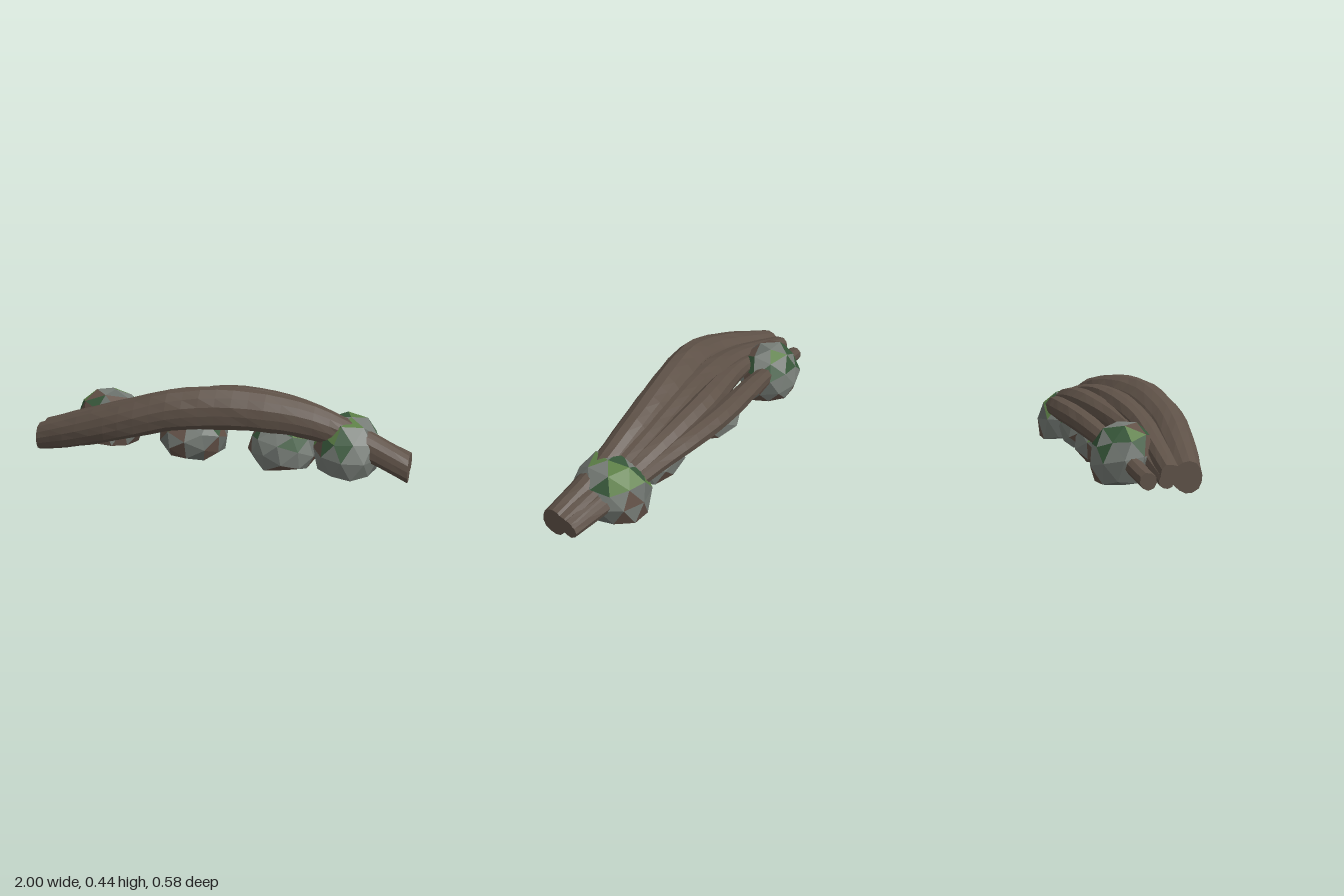
import * as THREE from 'three';

const mat = (name, color) => {
  const m = new THREE.MeshStandardMaterial({ color, flatShading: true });
  m.name = name;
  return m;
};

// repeatable value from 0 to 1 for any three numbers
const hash = (a, b, c) => {
  const s = Math.sin(a * 127.1 + b * 311.7 + c * 74.7) * 43758.5453;
  return s - Math.floor(s);
};

// fluted strand lofted along x, rows are [z, y, radius] at even steps from x = -1 to 1
function strand(rows, sides, seed, steps = 24) {
  const curve = new THREE.CatmullRomCurve3(rows.map((r) => new THREE.Vector3(...r)), false, 'catmullrom');
  const flute = Array.from({ length: sides }, (_, j) => 0.92 + 0.14 * hash(j, seed, 1));
  const pos = [], index = [];
  for (let i = 0; i <= steps; i++) {
    const t = i / steps, p = curve.getPoint(t);
    for (let j = 0; j < sides; j++) {
      const a = (j / sides) * Math.PI * 2 + t * 0.5 + seed;
      const r = p.z * flute[j] * (0.975 + 0.05 * hash(i, j, seed));
      pos.push(-1 + 2 * t, Math.max(0.002, p.y + Math.sin(a) * r), p.x + Math.cos(a) * r);
    }
  }
  for (let i = 0; i < steps; i++) {
    for (let j = 0; j < sides; j++) {
      const a = i * sides + j, b = i * sides + ((j + 1) % sides);
      index.push(a, a + sides, b, b, a + sides, b + sides);
    }
  }
  // flat cut ends
  for (const end of [0, 1]) {
    const c = pos.length / 3, row = rows[end * (rows.length - 1)], base = end * steps * sides;
    pos.push(end * 2 - 1, row[1], row[0]);
    for (let j = 0; j < sides; j++) {
      const a = base + j, b = base + ((j + 1) % sides);
      if (end) index.push(c, b, a);
      else index.push(c, a, b);
    }
  }
  const g = new THREE.BufferGeometry();
  g.setAttribute('position', new THREE.Float32BufferAttribute(pos, 3));
  g.setIndex(index);
  const flat = g.toNonIndexed();
  flat.computeVertexNormals();
  return flat;
}

// rough stone with a broad flat base; each facet picks one of the stone or moss colours
function stone(center, radius, seed, moss) {
  const g = new THREE.IcosahedronGeometry(1, 1);
  const p = g.attributes.position, v = new THREE.Vector3();
  g.rotateY(seed * 1.3);
  g.rotateX(seed * 0.4);
  for (let i = 0; i < p.count; i++) {
    v.fromBufferAttribute(p, i);
    const k = [v.x, v.y, v.z].map((n) => Math.round(n * 50));
    if (v.y < 0) v.y *= 1.3;
    v.multiplyScalar(0.93 + 0.12 * hash(k[0] + seed, k[1], k[2]));
    v.multiply(radius).add(center);
    p.setXYZ(i, v.x, Math.max(v.y, 0.013 + 0.014 * hash(k[0], k[2], seed)), v.z);
  }
  g.computeVertexNormals();
  g.clearGroups();
  for (let f = 0; f < p.count; f += 3) {
    const up = g.attributes.normal.getY(f), h = hash(f, seed, 5), green = hash(f, seed, 9);
    const soil = up < -0.3 ? 0.38 : 0.2;
    let m = h < soil ? 2 : h < soil + 0.3 ? 1 : 0;
    if (up > 0.42 && green < moss) m = green < moss * 0.5 ? 4 : 3;
    g.addGroup(f, 3, m);
  }
  return g;
}

export function createModel() {
  const model = new THREE.Group();
  const bark = mat('bark', 0x5e5147);
  const stoneMats = [
    mat('stone', 0x777d77),
    mat('darkStone', 0x696f6a),
    mat('earth', 0x625147),
    mat('moss', 0x5d8047),
    mat('darkMoss', 0x37573a),
  ];

  // arched bundle of fused trunks and roots
  const strands = {
    mainTrunk: [14, [
      [0.14, 0.085, 0.077], [0.172, 0.165, 0.096], [0.188, 0.247, 0.106],
      [0.152, 0.317, 0.114], [0.092, 0.334, 0.117], [0.042, 0.315, 0.111],
      [0.01, 0.27, 0.097], [0.008, 0.181, 0.085], [0.043, 0.078, 0.077]]],
    innerRoot: [11, [
      [0.06, 0.10, 0.05], [0.06, 0.18, 0.06], [0.055, 0.255, 0.066],
      [0.015, 0.308, 0.075], [-0.022, 0.325, 0.076], [-0.055, 0.304, 0.075],
      [-0.072, 0.263, 0.067], [-0.055, 0.183, 0.056], [-0.01, 0.09, 0.05]]],
    middleRoot: [10, [
      [0.04, 0.07, 0.036], [0.02, 0.15, 0.045], [0, 0.22, 0.052],
      [-0.062, 0.275, 0.064], [-0.122, 0.303, 0.073], [-0.14, 0.29, 0.07],
      [-0.13, 0.245, 0.06], [-0.085, 0.163, 0.052], [-0.04, 0.085, 0.045]]],
    backRoot: [9, [
      [-0.045, 0.075, 0.042], [-0.09, 0.14, 0.046], [-0.14, 0.2, 0.052],
      [-0.195, 0.25, 0.06], [-0.229, 0.269, 0.062], [-0.22, 0.26, 0.059],
      [-0.176, 0.22, 0.053], [-0.12, 0.15, 0.048], [-0.06, 0.078, 0.042]]],
  };
  Object.entries(strands).forEach(([name, [sides, rows]], i) => {
    const mesh = new THREE.Mesh(strand(rows, sides, i + 1), bark);
    mesh.name = name;
    model.add(mesh);
  });

  // supporting stones: [name, centre, radii, seed, moss share]
  const stones = [
    ['rightEndStone', [-0.672, 0.128, -0.078], [0.198, 0.18, 0.168], 1, 0.52],
    ['rightMiddleStone', [-0.175, 0.118, -0.025], [0.192, 0.145, 0.178], 2, 0.25],
    ['leftMiddleStone', [0.328, 0.118, -0.01], [0.192, 0.15, 0.178], 3, 0.45],
    ['leftEndStone', [0.667, 0.128, -0.043], [0.187, 0.18, 0.213], 4, 0.75],
  ];
  for (const [name, c, r, seed, moss] of stones) {
    const g = stone(new THREE.Vector3(...c), new THREE.Vector3(...r), seed, moss);
    const mesh = new THREE.Mesh(g, stoneMats);
    mesh.name = name;
    model.add(mesh);
  }
  return model;
}
